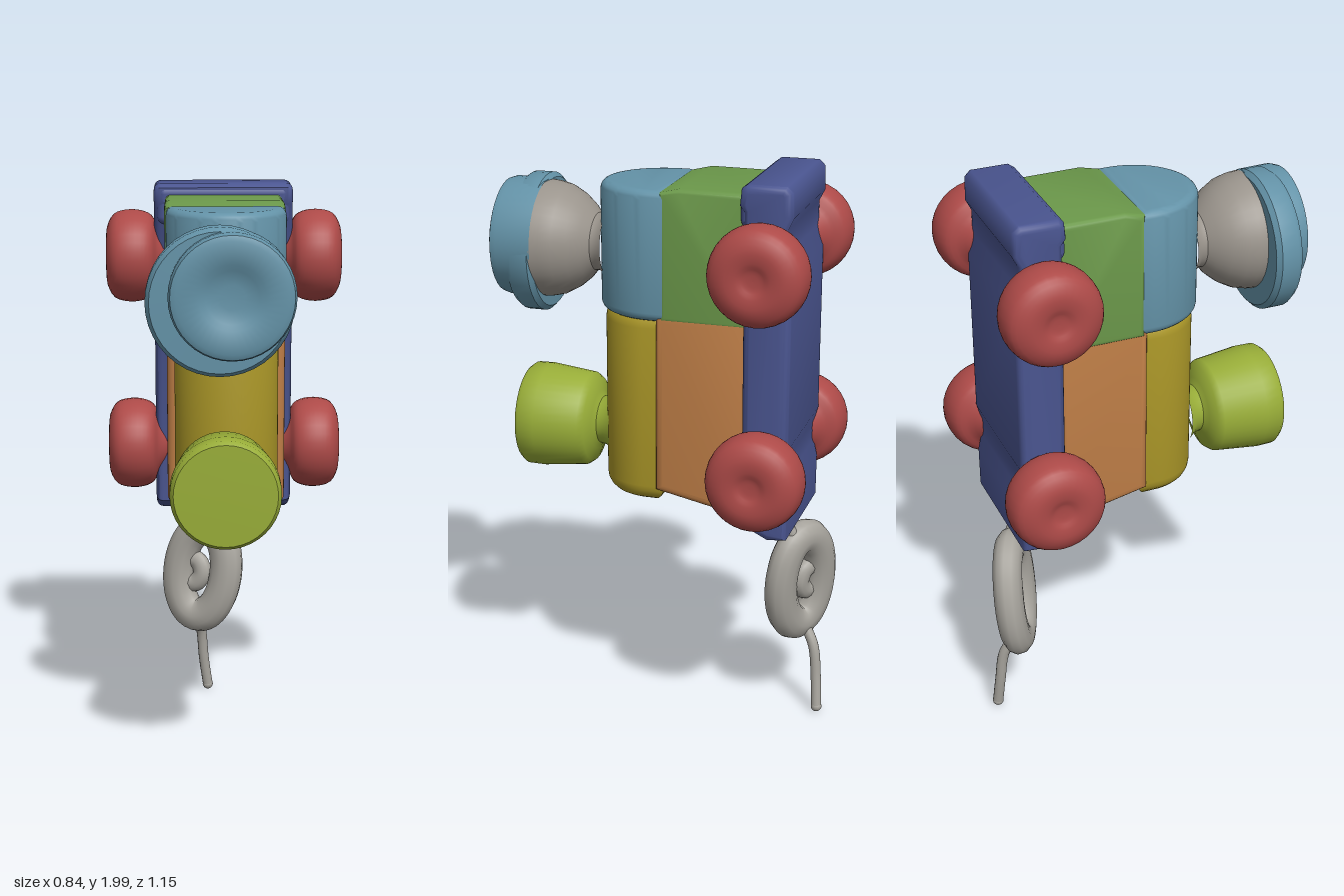
import * as THREE from 'three';
import { toCreasedNormals } from 'three/addons/utils/BufferGeometryUtils.js';
import { RoundedBoxGeometry } from 'three/addons/geometries/RoundedBoxGeometry.js';

const V2 = (x, y) => new THREE.Vector2(x, y);
const V3 = (x, y, z) => new THREE.Vector3(x, y, z);

const COLORS = {
  navy: 0x4a5590, red: 0xad4a48, sky: 0x6493a8, green: 0x6b984a, orange: 0xbd7d46,
  yellow: 0xab9728, lime: 0x98ad38, stone: 0x9a948c, string: 0xa8a59e,
};
const materials = {};
for (const [key, color] of Object.entries(COLORS)) materials[key] = new THREE.MeshStandardMaterial({ color });

export function createModel() {
  const model = new THREE.Group();

  function add(name, geometry, material, x = 0, y = 0, z = 0) {
    const mesh = new THREE.Mesh(geometry, materials[material]);
    mesh.name = name;
    mesh.position.set(x, y, z);
    model.add(mesh);
    return mesh;
  }

  // Extrusion with soft edges that stays inside the drawn outline
  function softExtrude(shape, length, bevel) {
    const geometry = new THREE.ExtrudeGeometry(shape, {
      depth: length - 2 * bevel, bevelThickness: bevel, bevelSize: bevel, bevelOffset: -bevel,
      bevelSegments: 5, curveSegments: 24,
    });
    return geometry.translate(0, 0, bevel);
  }

  // Block drawn from the side as [z, y] corners and extruded across x
  function sideBlock(name, material, corners, x0, x1, bevel) {
    const shape = new THREE.Shape(corners.map(([z, y]) => V2(z, y)));
    const geometry = softExtrude(shape, x1 - x0, bevel).rotateY(-Math.PI / 2);
    add(name, toCreasedNormals(geometry, 0.8), material, x1, 0, 0);
  }

  // Upright block with a flat back and a half-round front
  function roundFront(name, material, halfWidth, zBack, zMid, zFront, y0, y1, bevel) {
    const shape = new THREE.Shape();
    shape.moveTo(-halfWidth, zBack);
    shape.lineTo(halfWidth, zBack);
    shape.lineTo(halfWidth, zMid);
    shape.absellipse(0, zMid, halfWidth, zFront - zMid, 0, Math.PI, false);
    shape.closePath();
    const geometry = softExtrude(shape, y1 - y0, bevel).rotateX(Math.PI / 2);
    add(name, toCreasedNormals(geometry, 0.8), material, 0, y1, 0);
  }

  // Turned part with its axis along z; profile pairs are [radius, z]
  function turned(name, material, profile, x, y) {
    const geometry = new THREE.LatheGeometry(profile.map(p => V2(...p)), 40).rotateX(Math.PI / 2);
    return add(name, toCreasedNormals(geometry, 0.7), material, x, y, 0);
  }

  // Chassis slab standing on end, with shallow hollows behind the axles
  sideBlock('chassis', 'navy', [
    [-0.485, 0.785], [-0.42, 0.78], [-0.33, 0.825], [-0.325, 1.9], [-0.31, 1.92], [-0.315, 1.975], [-0.335, 1.99],
    [-0.465, 1.99], [-0.485, 1.97], [-0.488, 1.89], [-0.468, 1.85], [-0.468, 1.77], [-0.486, 1.7],
    [-0.486, 1.11], [-0.472, 1.06], [-0.472, 0.99], [-0.486, 0.93],
  ], -0.25, 0.245, 0.025);
  add('chassisRearLip', new RoundedBoxGeometry(0.475, 0.14, 0.1, 4, 0.03), 'navy', -0.003, 1.912, -0.36);

  // Cab and body
  sideBlock('cabBase', 'green', [[-0.34, 1.5], [-0.03, 1.5], [-0.03, 1.935], [-0.1, 1.952], [-0.34, 1.95]], -0.21, 0.205, 0.02);
  roundFront('cabRoof', 'sky', 0.205, -0.045, 0, 0.225, 1.5, 1.94, 0.03);
  roundFront('boiler', 'yellow', 0.178, -0.04, 0.035, 0.21, 0.845, 1.53, 0.06);
  sideBlock('bodyBase', 'orange', [[-0.34, 0.838], [-0.3, 0.84], [-0.015, 0.9], [-0.015, 1.53], [-0.34, 1.53]], -0.205, 0.205, 0.03);

  // Wheels
  const wheelCurve = new THREE.SplineCurve([
    V2(0.07, 0.2), V2(0.105, 0.238), V2(0.145, 0.26), V2(0.163, 0.3), V2(0.165, 0.35),
    V2(0.15, 0.395), V2(0.105, 0.42), V2(0.06, 0.42), V2(0.03, 0.41), V2(0, 0.408),
  ]);
  for (const s of [1, -1]) {
    for (const [end, y] of [['rear', 1.725], ['front', 1.03]]) {
      const wheel = new THREE.LatheGeometry(wheelCurve.getPoints(27), 32).rotateZ(-s * Math.PI / 2);
      add(`${end}${s > 0 ? 'Left' : 'Right'}Wheel`, wheel, 'red', 0, y, -0.403);
    }
  }

  // Large funnel: stone-coloured flare, cap with a dimple, off-centre flange
  turned('funnelFlare', 'stone',
    [[0.115, 0.2], [0.098, 0.225], [0.098, 0.243], [0.13, 0.268], [0.162, 0.305], [0.187, 0.35], [0.197, 0.39], [0.2, 0.425]], 0.008, 1.712);
  turned('funnelCap', 'sky',
    [[0.2, 0.42], [0.203, 0.54], [0.196, 0.562], [0.178, 0.57], [0.105, 0.566],
      [0.085, 0.553], [0.04, 0.547], [0, 0.547]], 0.008, 1.714);
  turned('funnelFlange', 'sky',
    [[0.15, 0.415], [0.222, 0.415], [0.238, 0.43], [0.238, 0.49], [0.225, 0.508], [0.15, 0.51]], -0.03, 1.69);

  // Small chimney
  turned('chimney', 'lime',
    [[0.11, 0.185], [0.088, 0.215], [0.083, 0.24], [0.105, 0.252], [0.15, 0.264], [0.165, 0.285], [0.183, 0.44],
      [0.182, 0.495], [0.17, 0.51], [0, 0.513]], -0.012, 1.063);

  // Pull string: lead, thick loop with a knot inside, and loose tail
  const tube = (points, radius, closed = false) =>
    new THREE.TubeGeometry(new THREE.CatmullRomCurve3(points, closed), closed ? 64 : 24, radius, 12, closed);
  add('stringLead', tube([V3(0, 0.82, -0.41), V3(0, 0.75, -0.435), V3(-0.01, 0.69, -0.465), V3(-0.03, 0.63, -0.485)], 0.021), 'string');

  const loop = [];
  for (let i = 0; i < 16; i++) {
    const a = i / 16 * Math.PI * 2;
    loop.push(V3(0.1 * Math.cos(a), 0.175 * Math.sin(a), 0));
  }
  const knot = [V3(-0.07, 0.04, 0), V3(-0.02, 0.03, 0), V3(0, -0.01, 0), V3(-0.02, -0.05, 0), V3(-0.07, -0.06, 0)];
  const loopParts = [
    add('stringLoop', tube(loop, 0.065, true), 'string', -0.08, 0.508, -0.472),
    add('stringKnot', tube(knot, 0.036), 'string', -0.08, 0.508, -0.472),
  ];
  for (const part of loopParts) {
    part.rotation.set(-0.1, -0.52, -0.12, 'YXZ');
    part.scale.z = 0.8;
  }

  add('stringTail', tube([V3(-0.1, 0.32, -0.49), V3(-0.085, 0.25, -0.525), V3(-0.075, 0.13, -0.54), V3(-0.06, 0.02, -0.548)], 0.019), 'string');
  add('stringTip', new THREE.SphereGeometry(0.02, 12, 8), 'string', -0.06, 0.02, -0.548);

  return model;
}
